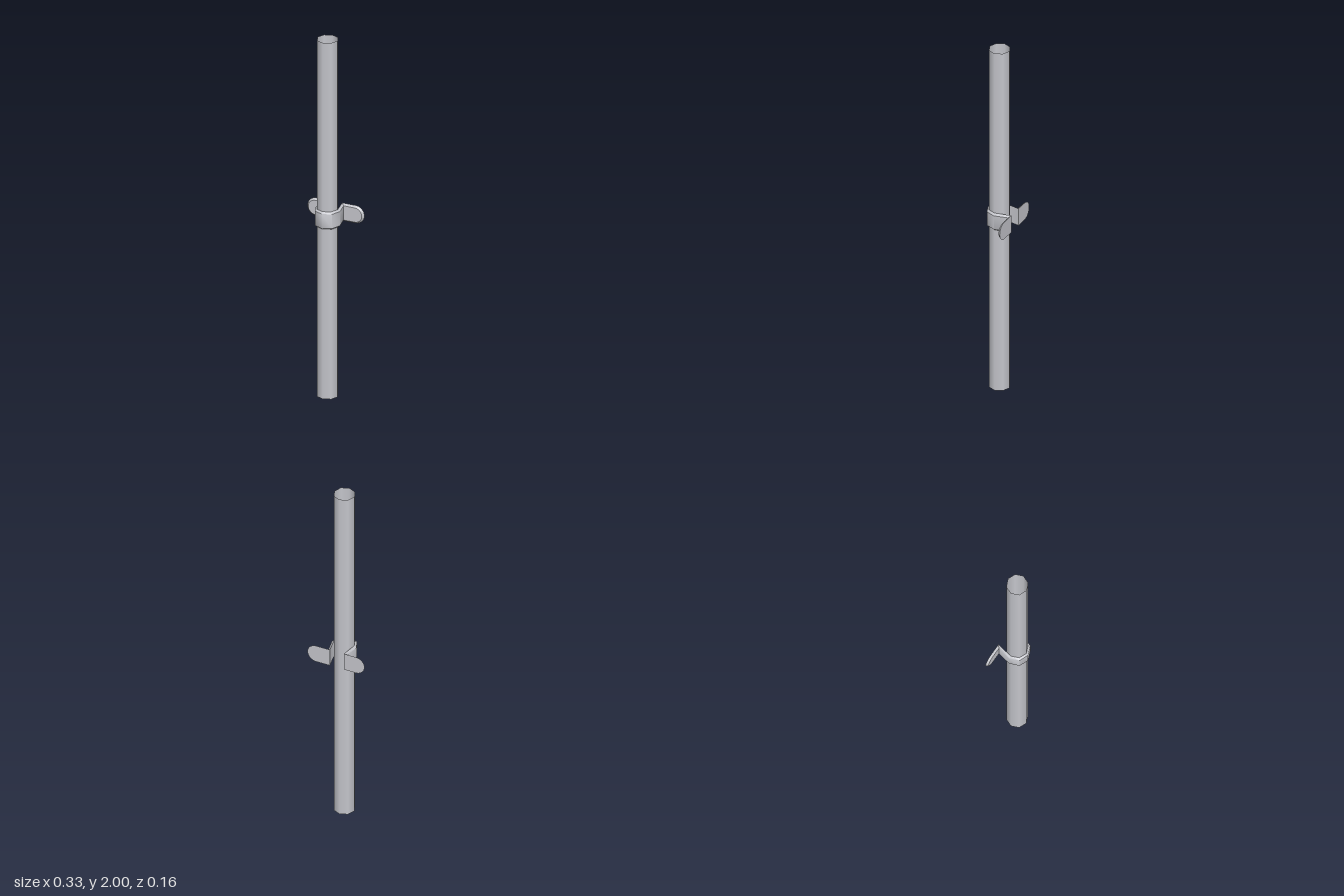
import * as THREE from 'three';
import { toCreasedNormals } from 'three/addons/utils/BufferGeometryUtils.js';

const MID_Y = 1.003; // height of the clip's centre line
const INNER_R = 0.05; // half height of the clip's inner face
const OUTER_R = 0.04; // half height of its bevelled outer face

// Stations along the strap: [inner x, inner z, outer x, outer z, inner half height, outer half height]
function strapStations() {
  const tip = [];
  for (let i = 0; i <= 8; i++) {
    const a = (i / 8) * Math.PI / 2;
    const c = Math.cos(a), s = Math.sin(a);
    tip.push([-0.113 - INNER_R * c, -0.08, -0.113 - OUTER_R * c, -0.068, INNER_R * s, OUTER_R * s]);
  }
  const bends = [
    [-0.045, -0.08, -0.059, -0.068],
    [-0.062, 0.006, -0.074, 0.006],
    [-0.045, 0.047, -0.054, 0.058],
    [-0.005, 0.065, -0.005, 0.077],
    [0.036, 0.047, 0.044, 0.058],
    [0.052, 0.006, 0.065, 0.006],
    [0.035, -0.08, 0.049, -0.068],
  ].map((p) => [...p, INNER_R, OUTER_R]);
  const mirrored = tip.map(([ix, iz, ox, oz, ih, oh]) => [-ix, iz, -ox, oz, ih, oh]).reverse();
  return [...tip, ...bends, ...mirrored];
}

// Joins four-cornered cross-sections into a closed strap
function strapGeometry() {
  const stations = strapStations();
  const positions = [], index = [];
  stations.forEach(([ix, iz, ox, oz, ih, oh], i) => {
    positions.push(
      ix, MID_Y - ih, iz,
      ix, MID_Y + ih, iz,
      ox, MID_Y + oh, oz,
      ox, MID_Y - oh, oz,
    );
    if (i === stations.length - 1) return;
    for (let j = 0; j < 4; j++) {
      const a = i * 4 + j, b = i * 4 + (j + 1) % 4;
      index.push(a, b, b + 4, a, b + 4, a + 4);
    }
  });
  const geometry = new THREE.BufferGeometry();
  geometry.setAttribute('position', new THREE.Float32BufferAttribute(positions, 3));
  geometry.setIndex(index);
  return toCreasedNormals(geometry, 0.85);
}

export function createModel() {
  const model = new THREE.Group();
  model.name = 'pipeWithClip';
  const metal = new THREE.MeshStandardMaterial({ color: 0xc4c5cb });
  metal.name = 'greyMetal';
  metal.side = THREE.DoubleSide;

  // Open-ended eight-sided pipe
  const pipe = new THREE.Mesh(new THREE.CylinderGeometry(0.057, 0.057, 2, 8, 1, true), metal);
  pipe.name = 'pipe';
  pipe.position.set(-0.005, 1, 0.009);
  model.add(pipe);

  // Saddle clip: wraps the front of the pipe, with rounded flanges behind
  const clip = new THREE.Mesh(strapGeometry(), metal);
  clip.name = 'saddleClip';
  model.add(clip);

  return model;
}
